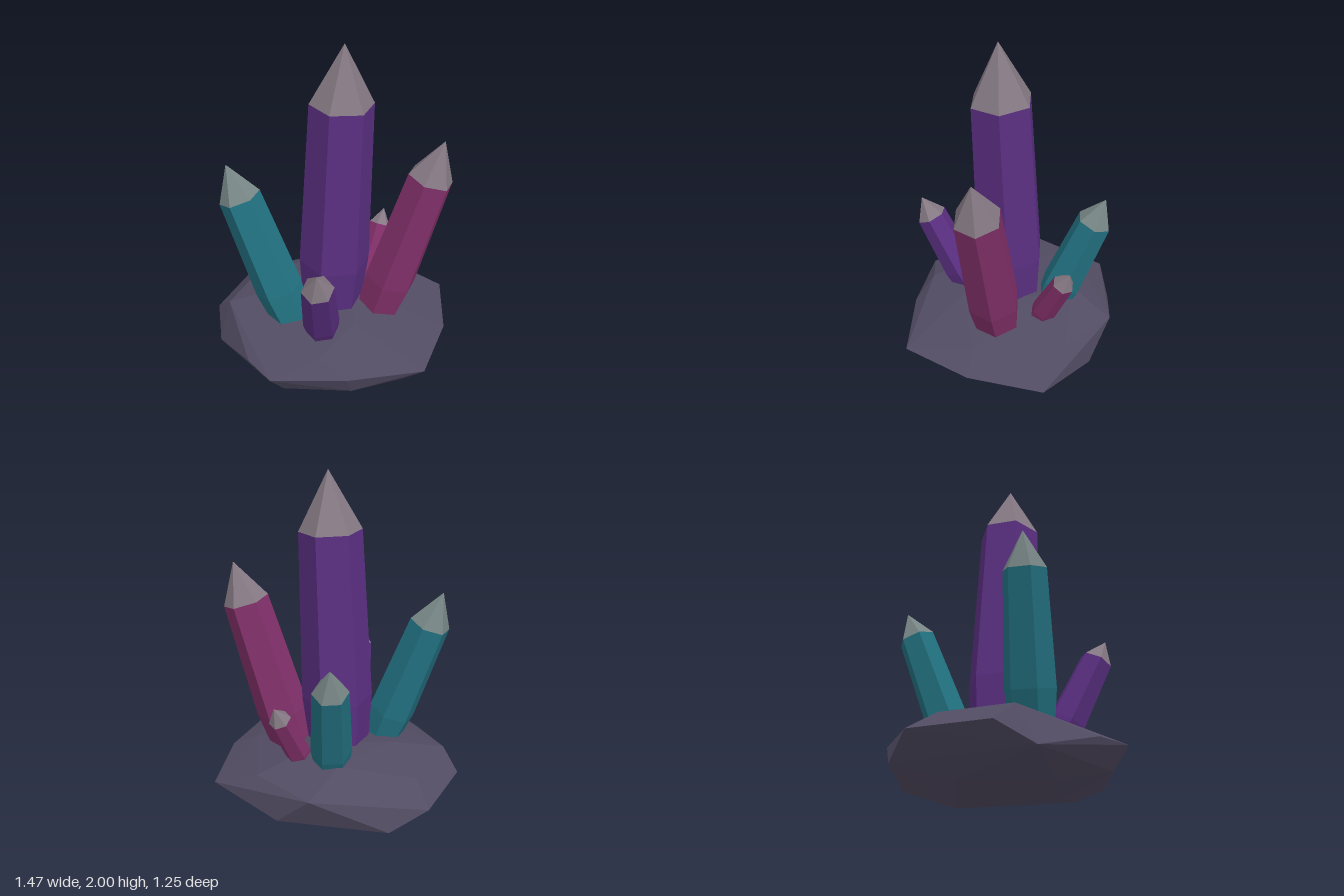
import * as THREE from 'three';
import { ConvexGeometry } from 'three/addons/geometries/ConvexGeometry.js';
import { mergeGeometries } from 'three/addons/utils/BufferGeometryUtils.js';

const mat = (name, color) =>
  Object.assign(new THREE.MeshStandardMaterial({ color, flatShading: true }), { name });

// A hexagonal crystal from base to tip: flared foot, tapering shaft, pointed cap
function crystal(name, base, tip, radius, bodyMat, tipMat) {
  const a = new THREE.Vector3(...base);
  const axis = new THREE.Vector3(...tip).sub(a);
  const len = axis.length();
  const segment = (r0, r1, from, to) =>
    new THREE.CylinderGeometry(r1 * radius, r0 * radius, (to - from) * len, 6, 1, true, Math.PI / 2)
      .translate(0, (from + to) / 2 * len, 0);

  const group = new THREE.Group();
  group.name = name;
  const shaft = new THREE.Mesh(
    mergeGeometries([segment(0.85, 1, 0, 0.2), segment(1, 0.86, 0.2, 0.8)]), bodyMat);
  shaft.name = 'shaft';
  const cap = new THREE.Mesh(segment(0.86, 0, 0.8, 1), tipMat);
  cap.name = 'cap';
  group.add(shaft, cap);
  group.position.copy(a);
  group.quaternion.setFromUnitVectors(new THREE.Vector3(0, 1, 0), axis.normalize());
  return group;
}

export function createModel() {
  const model = new THREE.Group();
  model.name = 'crystalCluster';

  const stone = mat('stone', 0x524c63);
  const purple = mat('purple', 0x5b2f82);
  const magenta = mat('magenta', 0x82306a);
  const teal = mat('teal', 0x237383);
  const warmTip = mat('warmTip', 0x857983);
  const coolTip = mat('coolTip', 0x788686);

  // Rock base: a faceted hull over a few corner points
  const corners = [
    // top
    [-0.67, 0.31, -0.08], [-0.33, 0.37, -0.1], [0.12, 0.395, -0.15], [0, 0.38, -0.38],
    [0.47, 0.31, -0.33], [0.06, 0.34, 0.3], [0.48, 0.27, 0.2], [-0.18, 0.3, 0.52],
    [0.18, 0.3, -0.61], [-0.45, 0.31, -0.42],
    // widest ring
    [-0.74, 0.2, -0.2], [-0.58, 0.2, 0.37], [-0.47, 0.2, 0.56], [-0.04, 0.2, 0.625],
    [0.42, 0.2, 0.61], [0.64, 0.2, 0.22], [0.73, 0.2, -0.22], [-0.5, 0.2, -0.58],
    // lower ring
    [-0.74, 0.09, 0.01], [-0.27, 0.09, -0.63], [0.36, 0.1, -0.49], [0.54, 0.1, 0.1],
    [0.32, 0.08, 0.52], [-0.39, 0.08, 0.5], [0, 0.08, 0.58],
    // underside
    [0.28, 0, -0.2], [-0.4, 0.02, 0.2], [0, 0.025, 0.33], [-0.3, 0.015, -0.3],
  ].map((p) => new THREE.Vector3(...p));
  const rock = new THREE.Mesh(new ConvexGeometry(corners), stone);
  rock.name = 'rockBase';
  model.add(rock);

  // Crystals: name, base, tip, radius, colours
  model.add(
    crystal('mainCrystal', [-0.03, 0.3, 0], [0.03, 2, 0.07], 0.212, purple, warmTip),
    crystal('rightCrystal', [0.25, 0.28, 0.07], [0.58, 1.45, 0.17], 0.158, magenta, warmTip),
    crystal('leftCrystal', [-0.3, 0.3, 0.1], [-0.63, 1.3, -0.02], 0.143, teal, coolTip),
    crystal('frontCrystal', [-0.13, 0.29, 0.28], [-0.195, 0.89, 0.57], 0.108, purple, warmTip),
    crystal('backCrystal', [0.03, 0.295, -0.25], [0.055, 1.07, -0.545], 0.121, teal, coolTip),
    crystal('smallBackCrystal', [0.2, 0.3, -0.175], [0.36, 0.75, -0.35], 0.077, magenta, warmTip),
  );
  return model;
}
